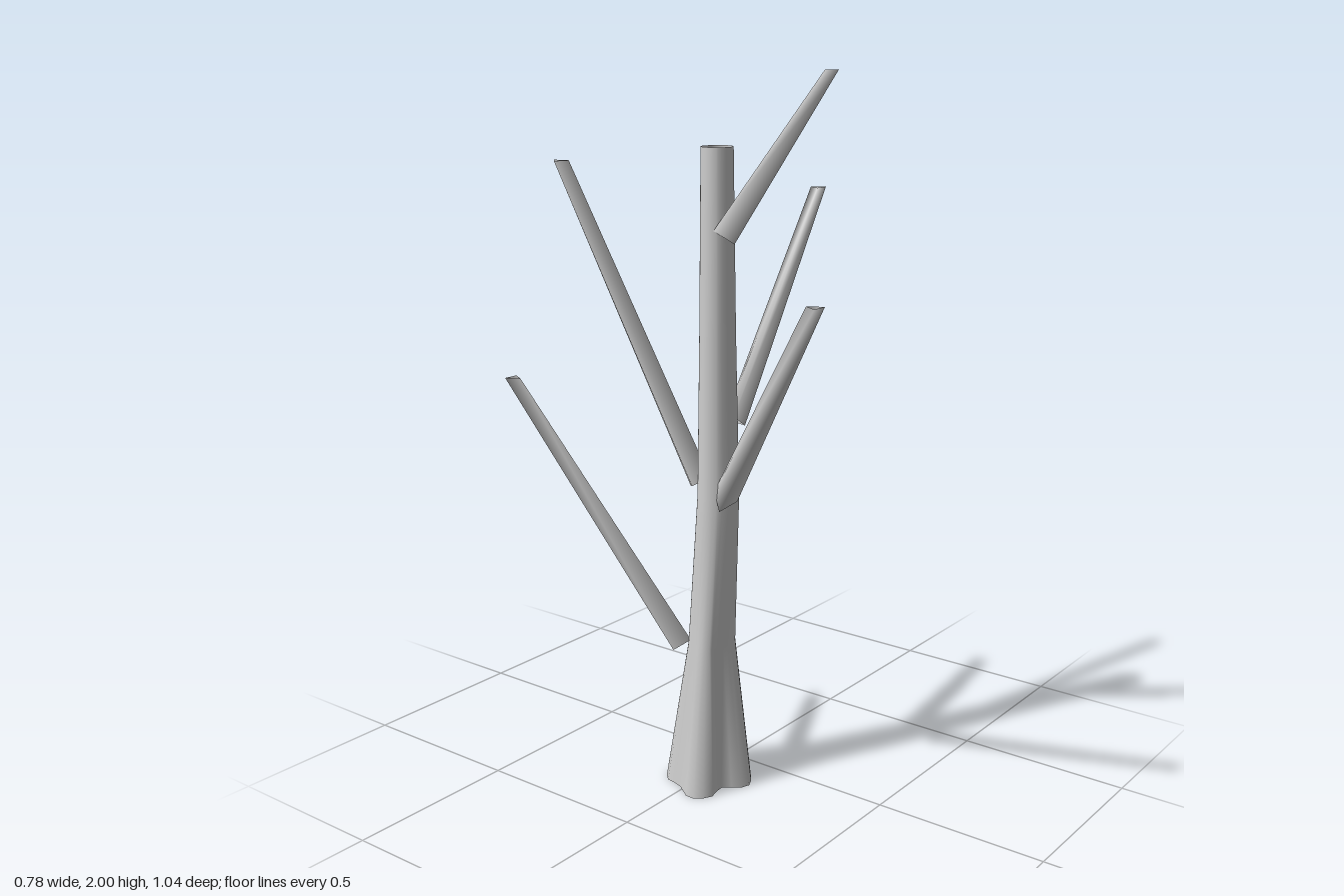
import * as THREE from 'three';

const bark = new THREE.MeshStandardMaterial({ color: 0xcccccc, side: THREE.DoubleSide });

// Skin a list of closed rings (equal point counts) into one smooth open tube
function loft(name, rings) {
  const n = rings[0].length, index = [];
  for (let r = 0; r < rings.length - 1; r++) {
    for (let i = 0; i < n; i++) {
      const a = r * n + i, b = r * n + (i + 1) % n;
      index.push(a, a + n, b, b, a + n, b + n);
    }
  }
  const geo = new THREE.BufferGeometry().setFromPoints(rings.flat());
  geo.setIndex(index);
  geo.computeVertexNormals();
  const mesh = new THREE.Mesh(geo, bark);
  mesh.name = name;
  return mesh;
}

// Trunk: lobed root flare that becomes a slim tapering stem
function makeTrunk() {
  const sides = 30;
  const foot = new THREE.CatmullRomCurve3([
    [0.01, 0], [-0.04, 0.055], [-0.08, 0.11], [-0.14, 0.14], [-0.19, 0.085],
    [-0.25, 0.095], [-0.29, 0.05], [-0.25, -0.02], [-0.235, -0.08],
    [-0.185, -0.095], [-0.13, -0.055], [-0.05, -0.06], [0, -0.04],
  ].map(([x, z]) => new THREE.Vector3(x, 0, z)), true);
  const base = foot.getSpacedPoints(sides).slice(0, sides);

  // height, centre x, centre z, half width, half depth
  const levels = [
    [0.42, -0.143, 0.018, 0.073, 0.062],
    [0.85, -0.12, 0.025, 0.063, 0.055],
    [1.3, -0.112, 0.018, 0.053, 0.048],
    [1.8, -0.104, 0.012, 0.045, 0.043],
  ];
  const rings = levels.map(([y, cx, cz, rx, rz]) => base.map((p) => {
    const a = Math.atan2(p.z - 0.02, p.x + 0.14);
    return new THREE.Vector3(cx + rx * Math.cos(a), y, cz + rz * Math.sin(a));
  }));
  return loft('trunk', [base, ...rings]);
}

// Branch: three-sided taper, square cut at its root and level cut at its tip
function makeBranch(name, start, end, r0, r1, turn) {
  const a = new THREE.Vector3(...start), b = new THREE.Vector3(...end);
  const dir = b.clone().sub(a).normalize();
  const ring = (centre, normal, r) => {
    const u = new THREE.Vector3(1, 0, 0).projectOnPlane(normal).normalize();
    const v = u.clone().cross(normal);
    return [0, 1, 2].map((i) => {
      const t = turn + i * Math.PI * 2 / 3;
      return centre.clone().addScaledVector(u, r * Math.cos(t)).addScaledVector(v, r * Math.sin(t));
    });
  };
  return loft(name, [ring(a, dir, r0), ring(b, new THREE.Vector3(0, 1, 0), r1)]);
}

export function createModel() {
  const tree = new THREE.Group();
  tree.name = 'bareTree';
  const back = -Math.PI / 2, front = Math.PI / 2;
  tree.add(
    makeTrunk(),
    makeBranch('leftBranch', [-0.06, 1.05, 0.035], [0.367, 1.657, 0.015], 0.035, 0.025, back),
    makeBranch('topFrontBranch', [-0.12, 1.57, 0.05], [-0.062, 2, 0.343], 0.038, 0.02, front),
    makeBranch('rightFrontBranch', [-0.155, 0.845, 0.07], [-0.365, 1.46, 0.507], 0.04, 0.026, back),
    makeBranch('lowBackBranch', [-0.19, 0.41, -0.05], [-0.37, 1.155, -0.505], 0.034, 0.025, front),
    makeBranch('highBackBranch', [-0.15, 0.88, -0.025], [-0.235, 1.75, -0.437], 0.038, 0.027, 0.8),
  );
  return tree;
}
